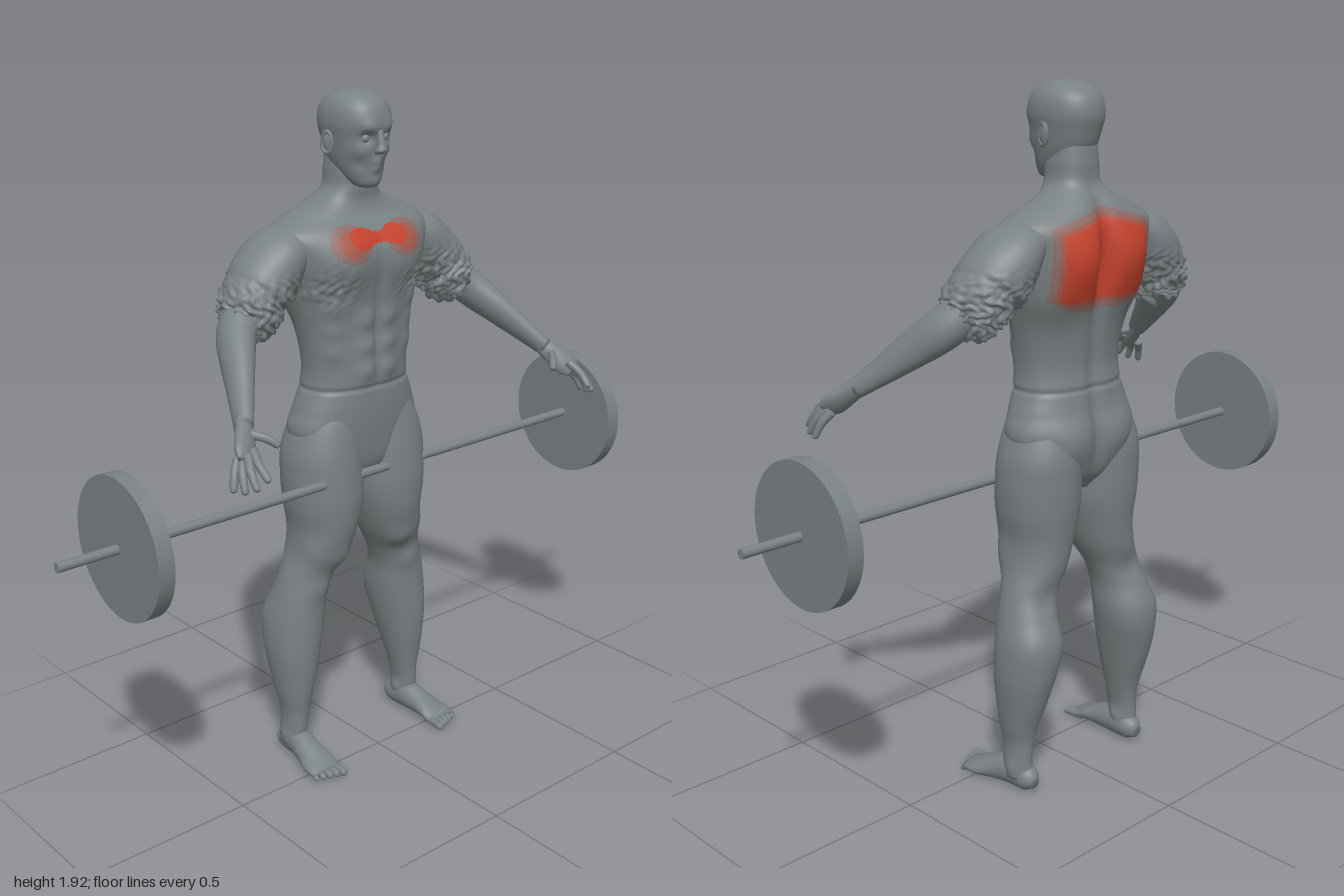
import * as THREE from 'three';

const flat = (name, color) => Object.assign(new THREE.MeshStandardMaterial({ color }), { name });
const UP = new THREE.Vector3(0, 1, 0);

// Skin over smoothed cross-sections [x, y, z, halfWidth, halfDepth]; level keeps the rings horizontal.
function loft(rows, { sides = 24, steps = 40, level = false, power = 2 } = {}) {
  const path = new THREE.CatmullRomCurve3(rows.map(r => new THREE.Vector3(r[0], r[1], r[2])), false, 'catmullrom');
  const size = new THREE.CatmullRomCurve3(rows.map(r => new THREE.Vector3(r[3], r[4], 0)), false, 'catmullrom');
  const pos = [], idx = [], q = new THREE.Quaternion(), p = new THREE.Vector3();
  const bend = v => Math.sign(v) * Math.abs(v) ** (2 / power);
  for (let i = 0; i <= steps; i++) {
    const c = path.getPoint(i / steps), s = size.getPoint(i / steps);
    q.setFromUnitVectors(UP, level ? UP : path.getTangent(i / steps));
    for (let j = 0; j < sides; j++) {
      const a = j / sides * Math.PI * 2;
      p.set(s.x * bend(Math.cos(a)), 0, s.y * bend(Math.sin(a))).applyQuaternion(q).add(c);
      pos.push(p.x, p.y, p.z);
    }
  }
  const first = rows[0], last = rows[rows.length - 1], n = (steps + 1) * sides;
  pos.push(first[0], first[1], first[2], last[0], last[1], last[2]);
  for (let j = 0; j < sides; j++) {
    const k = (j + 1) % sides;
    for (let i = 0; i < steps; i++) {
      const a = i * sides + j, b = i * sides + k, c = a + sides, d = b + sides;
      idx.push(a, c, b, b, c, d);
    }
    idx.push(n, j, k, n + 1, steps * sides + k, steps * sides + j);
  }
  const g = new THREE.BufferGeometry();
  g.setAttribute('position', new THREE.Float32BufferAttribute(pos, 3));
  g.setIndex(idx);
  g.computeVertexNormals();
  return g;
}

// Push the surface along its normals by an amount that depends on position.
function sculpt(g, amount) {
  const p = g.attributes.position, n = g.attributes.normal;
  for (let i = 0; i < p.count; i++) {
    const d = amount(p.getX(i), p.getY(i), p.getZ(i));
    p.setXYZ(i, p.getX(i) + n.getX(i) * d, p.getY(i) + n.getY(i) * d, p.getZ(i) + n.getZ(i) * d);
  }
  g.computeVertexNormals();
  return g;
}

// Sum of soft bumps [x, y, z, radius, height].
const bumps = list => (x, y, z) => list.reduce((s, b) =>
  s + b[4] * Math.exp(-((x - b[0]) ** 2 + (y - b[1]) ** 2 + (z - b[2]) ** 2) / b[3] ** 2), 0);
const ragged = (x, y, z) => Math.sin(x * 170 + 2 * Math.sin(y * 110)) * Math.sin(y * 150 + 2 * Math.sin(z * 120));

function mirrored(g) {
  const m = g.clone().scale(-1, 1, 1), ix = m.index.array;
  for (let i = 0; i < ix.length; i += 3) [ix[i], ix[i + 1]] = [ix[i + 1], ix[i]];
  m.computeVertexNormals();
  return m;
}

// Which shade a point of the torso has: 0 body, 1 faint, 2 medium, 3 full red.
function torsoShade(x, y, z) {
  const ax = Math.abs(x), oval = (cx, cy, rx, ry) => Math.hypot((ax - cx) / rx, (y - cy) / ry);
  if (z < -0.14) {
    const edge = Math.min(0.15 - ax, y - 1.375, 1.585 - 0.25 * ax - y, 0.31 - ax - (1.46 - y) * 2.1);
    return edge > 0 ? 3 : edge > -0.012 ? 2 : edge > -0.028 ? 1 : 0;
  }
  if (z < -0.09 || y < 1.4) return 0;
  if (oval(0.055, 1.547, 0.042, 0.027) < 1 || (ax < 0.05 && Math.abs(y - 1.545) < 0.014)) return 3;
  const fade = oval(0.09, 1.535, 0.065, 0.048);
  return fade < 0.7 ? 2 : fade < 1 ? 1 : 0;
}

function paint(g, shade) {
  const p = g.attributes.position, ix = g.index.array, lists = [[], [], [], []];
  for (let i = 0; i < ix.length; i += 3) {
    const t = [ix[i], ix[i + 1], ix[i + 2]], mid = f => (f(t[0]) + f(t[1]) + f(t[2])) / 3;
    lists[shade(mid(k => p.getX(k)), mid(k => p.getY(k)), mid(k => p.getZ(k)))].push(...t);
  }
  g.setIndex(lists.flat());
  let start = 0;
  lists.forEach((l, m) => { g.addGroup(start, l.length, m); start += l.length; });
}

export function createModel() {
  const model = new THREE.Group();
  const grey = flat('body grey', 0x7a8183);
  const shades = [grey, flat('faint red', 0x8c6d68), flat('medium red', 0xa65a4c), flat('muscle red', 0xc8432e)];
  const add = (name, g, mat = grey) => {
    const m = new THREE.Mesh(g, mat);
    m.name = name;
    model.add(m);
    return m;
  };
  const pair = (name, g) => { add(name + 'Left', g); add(name + 'Right', mirrored(g)); };
  // Upright sections given as [y, front z, back z, halfWidth]
  const upright = rows => rows.map(([y, f, b, w]) => [0, y, (f + b) / 2, w, (f - b) / 2]);

  // Torso and neck
  const torso = loft(upright([
    [0.84, -0.06, -0.17, 0.06], [0.9, -0.02, -0.21, 0.14], [1.0, -0.005, -0.222, 0.205], [1.07, 0, -0.215, 0.19],
    [1.13, 0, -0.21, 0.168], [1.2, 0, -0.203, 0.163], [1.3, -0.003, -0.215, 0.178], [1.4, 0.005, -0.24, 0.205],
    [1.5, 0.012, -0.25, 0.235], [1.56, -0.008, -0.245, 0.25], [1.6, -0.04, -0.225, 0.19],
    [1.635, -0.052, -0.205, 0.11], [1.67, -0.05, -0.187, 0.073], [1.72, -0.05, -0.185, 0.066], [1.77, -0.06, -0.18, 0.06],
  ]), { sides: 144, steps: 180, level: true, power: 2.35 });
  const muscles = bumps([
    [0.1, 1.48, 0, 0.075, 0.022], [0.1, 1.48, -0.25, 0.085, 0.026], [0.15, 1.38, -0.2, 0.07, 0.012],
    [0.09, 0.99, -0.22, 0.075, 0.022], [0.05, 1.62, -0.22, 0.05, 0.008],
    ...[1.18, 1.25, 1.32].map(y => [0.038, y, 0, 0.03, 0.011]),
    ...[1.24, 1.3, 1.36].map(y => [0.13, y, -0.03, 0.03, 0.008]),
  ]);
  sculpt(torso, (x, y, z) => {
    const ax = Math.abs(x), g = (v, r) => Math.exp(-((v / r) ** 2));
    const spine = z < -0.12 ? -0.034 * g(ax, 0.03) * g(y - 1.46, 0.13) - 0.012 * g(ax, 0.025) * g(y - 1.1, 0.2) : 0;
    const midline = z > -0.1 ? -0.008 * g(ax, 0.012) * g(y - 1.32, 0.17) : 0;
    const torn = z > -0.08 ? 0.009 * ragged(ax, y, z) * g(ax - 0.14, 0.06) * g(y - 1.42, 0.045) : 0;
    return muscles(ax, y, z) + spine + midline + torn - 0.005 * g(y - 1.13, 0.006);
  });
  paint(torso, torsoShade);
  add('torso', torso, shades);

  // Head
  const head = loft(upright([
    [1.672, -0.035, -0.06, 0.02], [1.682, -0.018, -0.09, 0.04], [1.71, -0.01, -0.135, 0.058], [1.75, -0.002, -0.175, 0.071],
    [1.8, 0.006, -0.195, 0.08], [1.84, 0.014, -0.204, 0.086], [1.88, 0.004, -0.196, 0.08], [1.907, -0.022, -0.168, 0.06],
    [1.921, -0.055, -0.13, 0.032], [1.925, -0.09, -0.096, 0.003],
  ]), { sides: 72, steps: 90, level: true, power: 2.2 });
  const face = bumps([
    [0.034, 1.805, 0, 0.018, -0.013], [0.03, 1.828, 0.008, 0.02, 0.006], [0.05, 1.77, -0.02, 0.025, 0.005],
    [0, 1.742, 0, 0.014, 0.009], [0, 1.724, -0.004, 0.014, 0.008], [0.012, 1.733, 0, 0.007, -0.005],
    [0, 1.69, -0.015, 0.022, 0.009], [0.045, 1.74, -0.02, 0.02, -0.004],
  ]);
  add('head', sculpt(head, (x, y, z) => face(Math.abs(x), y, z)));
  add('nose', loft([[0, 1.763, 0.006, 0.013, 0.008], [0, 1.772, 0.014, 0.017, 0.016],
    [0, 1.79, 0.013, 0.011, 0.012], [0, 1.825, 0.008, 0.009, 0.007]], { steps: 16, level: true }));
  pair('eye', new THREE.SphereGeometry(0.012, 16, 12).translate(0.033, 1.804, -0.014));
  pair('ear', new THREE.SphereGeometry(1, 16, 12).scale(0.01, 0.03, 0.018).rotateY(-0.3).translate(0.084, 1.79, -0.1));
  pair('earRim', new THREE.TorusGeometry(0.017, 0.004, 8, 20).scale(1, 1.6, 1).rotateY(Math.PI / 2 - 0.3).translate(0.09, 1.79, -0.1));

  // Legs
  const leg = loft([
    [0.217, 0.04, -0.135, 0.034, 0.046], [0.217, 0.1, -0.13, 0.032, 0.047], [0.213, 0.15, -0.13, 0.037, 0.05],
    [0.212, 0.2, -0.132, 0.048, 0.06], [0.208, 0.28, -0.14, 0.064, 0.079], [0.203, 0.36, -0.147, 0.077, 0.091],
    [0.193, 0.45, -0.147, 0.082, 0.092], [0.182, 0.52, -0.135, 0.077, 0.082], [0.163, 0.58, -0.125, 0.078, 0.077],
    [0.134, 0.65, -0.115, 0.084, 0.094], [0.119, 0.72, -0.107, 0.093, 0.108], [0.115, 0.8, -0.107, 0.109, 0.117],
    [0.115, 0.88, -0.11, 0.112, 0.118], [0.113, 0.96, -0.113, 0.107, 0.114], [0.1, 1.05, -0.11, 0.085, 0.095],
    [0.09, 1.1, -0.11, 0.06, 0.07],
  ], { sides: 56, steps: 120, level: true, power: 2.15 });
  pair('leg', sculpt(leg, bumps([
    [0.17, 0.55, -0.05, 0.035, 0.008], [0.11, 0.64, -0.03, 0.04, 0.01], [0.19, 0.67, -0.05, 0.045, 0.008],
    [0.15, 0.42, -0.22, 0.06, 0.008], [0.24, 0.44, -0.21, 0.05, 0.007], [0.17, 0.57, -0.2, 0.04, -0.008],
    [0.26, 0.07, -0.135, 0.02, 0.008], [0.18, 0.075, -0.13, 0.02, 0.008],
  ])));

  // Feet and toes
  pair('foot', loft([
    [0.213, 0.03, -0.195, 0.016, 0.018], [0.213, 0.037, -0.17, 0.032, 0.036], [0.215, 0.045, -0.11, 0.036, 0.044],
    [0.222, 0.035, -0.05, 0.041, 0.034], [0.228, 0.024, 0, 0.05, 0.022], [0.229, 0.016, 0.04, 0.046, 0.013],
  ], { sides: 32, steps: 30 }));
  for (let i = 0; i < 5; i++) {
    const x = 0.192 + 0.019 * i, r = 0.014 - 0.0012 * i, tip = 0.08 - 0.008 * i;
    pair('toe' + (i + 1), loft([[x, 0.018, 0.01, r * 0.8, r * 0.8], [x, 0.015, tip - 0.02, r * 0.85, r * 0.85],
      [x, r, tip - 0.006, r * 0.85, r * 0.8], [x, r, tip, 0.003, 0.003]], { sides: 12, steps: 14 }));
  }

  // Arms, with torn-looking muscle around the upper arm
  const upperArm = loft([
    [0.385, 1.325, -0.1, 0.04, 0.045], [0.362, 1.35, -0.105, 0.07, 0.08], [0.335, 1.395, -0.115, 0.082, 0.096],
    [0.285, 1.455, -0.13, 0.087, 0.103], [0.235, 1.51, -0.132, 0.074, 0.1], [0.17, 1.55, -0.13, 0.045, 0.075],
  ], { sides: 72, steps: 70 });
  pair('upperArm', sculpt(upperArm, (x, y, z) => {
    const low = THREE.MathUtils.smoothstep(1.5 - y, 0, 0.1);
    return 0.009 * low * ragged(x, y, z) - 0.014 * Math.exp(-(((x - y + 1.1) / 0.01) ** 2)) * low;
  }));
  pair('forearm', loft([
    [0.54, 1.165, 0.122, 0.023, 0.028], [0.495, 1.225, 0.05, 0.031, 0.041], [0.455, 1.28, -0.015, 0.041, 0.052],
    [0.415, 1.33, -0.075, 0.05, 0.058], [0.37, 1.375, -0.11, 0.052, 0.058],
  ], { sides: 32, steps: 36 }));

  // Hands
  pair('palm', loft([
    [0.53, 1.18, 0.105, 0.02, 0.025], [0.55, 1.152, 0.138, 0.021, 0.031], [0.573, 1.122, 0.17, 0.019, 0.036],
    [0.588, 1.104, 0.19, 0.01, 0.026],
  ], { steps: 20 }));
  const fingers = {
    thumb: [[0.545, 1.155, 0.14], [0.515, 1.145, 0.175], [0.49, 1.125, 0.2]],
    indexFinger: [[0.565, 1.13, 0.19], [0.575, 1.105, 0.228], [0.573, 1.07, 0.266]],
    middleFinger: [[0.578, 1.12, 0.187], [0.595, 1.09, 0.222], [0.6, 1.05, 0.256]],
    ringFinger: [[0.585, 1.11, 0.177], [0.607, 1.08, 0.205], [0.617, 1.038, 0.228]],
    littleFinger: [[0.59, 1.105, 0.162], [0.612, 1.075, 0.178], [0.627, 1.035, 0.192]],
  };
  for (const [name, [base, joint, tip]] of Object.entries(fingers)) {
    const nearTip = joint.map((v, i) => v * 0.15 + tip[i] * 0.85);
    pair(name, loft([[...base, 0.013, 0.013], [...joint, 0.011, 0.011], [...nearTip, 0.009, 0.009],
      [...tip, 0.003, 0.003]], { sides: 12, steps: 18 }));
  }

  // Barbell
  const rod = (r, len, x, n) => new THREE.CylinderGeometry(r, r, len, n).rotateZ(Math.PI / 2).translate(x, 0.876, -0.02);
  add('bar', rod(0.013, 2, 0, 24));
  pair('weightPlate', rod(0.19, 0.046, 0.81, 64));
  return model;
}
